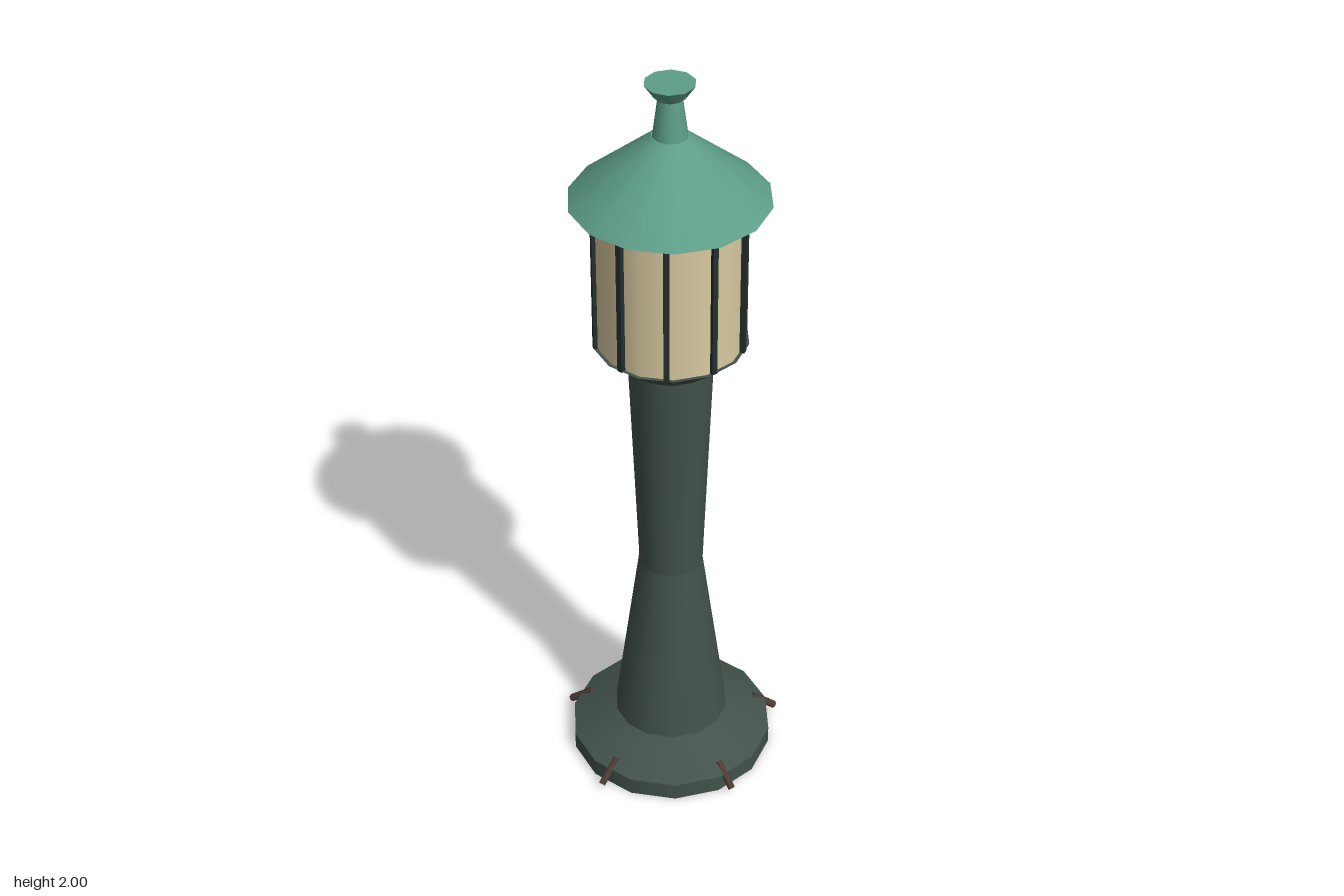
import * as THREE from 'three';

function material(name, color) {
  const m = new THREE.MeshStandardMaterial({ color });
  m.name = name;
  return m;
}

export function createModel() {
  const iron = material('dark green iron', 0x42524b);
  const copper = material('verdigris', 0x5d9e88);
  const glass = material('cream glass', 0xd8caa0);
  const frame = material('frame black green', 0x232f2d);
  const wood = material('brown pegs', 0x4e3c38);

  const model = new THREE.Group();
  model.name = 'lampPost';
  // The axis sits slightly off centre because one peg points along +x
  const post = new THREE.Group();
  post.name = 'post';
  post.position.x = -0.016;
  model.add(post);

  // Tapered section between two heights, with a corner on the x axis
  function section(name, mat, y0, y1, r0, r1, sides = 14, open = false) {
    const geo = new THREE.CylinderGeometry(r1, r0, y1 - y0, sides, 1, open);
    geo.rotateY(Math.PI / 2);
    const mesh = new THREE.Mesh(geo, mat);
    mesh.name = name;
    mesh.position.y = (y0 + y1) / 2;
    post.add(mesh);
  }

  // Foot and column
  section('basePlate', iron, 0, 0.048, 0.268, 0.268);
  section('baseSlope', iron, 0.048, 0.11, 0.268, 0.15);
  section('lowerColumn', iron, 0.11, 0.615, 0.15, 0.083);
  section('upperColumn', iron, 0.615, 1.235, 0.083, 0.107);

  // Lantern
  section('lanternCup', iron, 1.235, 1.308, 0.107, 0.193);
  section('lanternGlass', glass, 1.308, 1.698, 0.184, 0.184);

  // Roof and finial
  section('roof', copper, 1.698, 1.865, 0.243, 0.045);
  section('roofNeck', copper, 1.865, 1.968, 0.043, 0.029, 10);
  section('finial', copper, 1.965, 2, 0.037, 0.061, 10);

  // Glazing bars around the lantern
  const barGeo = new THREE.BoxGeometry(0.016, 0.39, 0.014);
  for (let i = 0; i < 10; i++) {
    const a = (i / 10) * Math.PI * 2;
    const bar = new THREE.Mesh(barGeo, frame);
    bar.name = 'glazingBar';
    bar.position.set(Math.cos(a) * 0.184, 1.503, Math.sin(a) * 0.184);
    bar.rotation.y = -a;
    post.add(bar);
  }

  // Pegs sloping down and out of the base
  const pegGeo = new THREE.CylinderGeometry(0.01, 0.01, 0.08, 6);
  pegGeo.rotateZ(Math.PI * 0.29);
  for (let i = 0; i < 5; i++) {
    const a = (i / 5) * Math.PI * 2;
    const peg = new THREE.Mesh(pegGeo, wood);
    peg.name = 'basePeg';
    peg.position.set(Math.cos(a) * 0.262, 0.04, Math.sin(a) * 0.262);
    peg.rotation.y = -a;
    // Mirror the tilt so the outer end is the low one
    peg.rotateX(Math.PI);
    peg.rotateX(Math.PI);
    post.add(peg);
  }
  return model;
}
